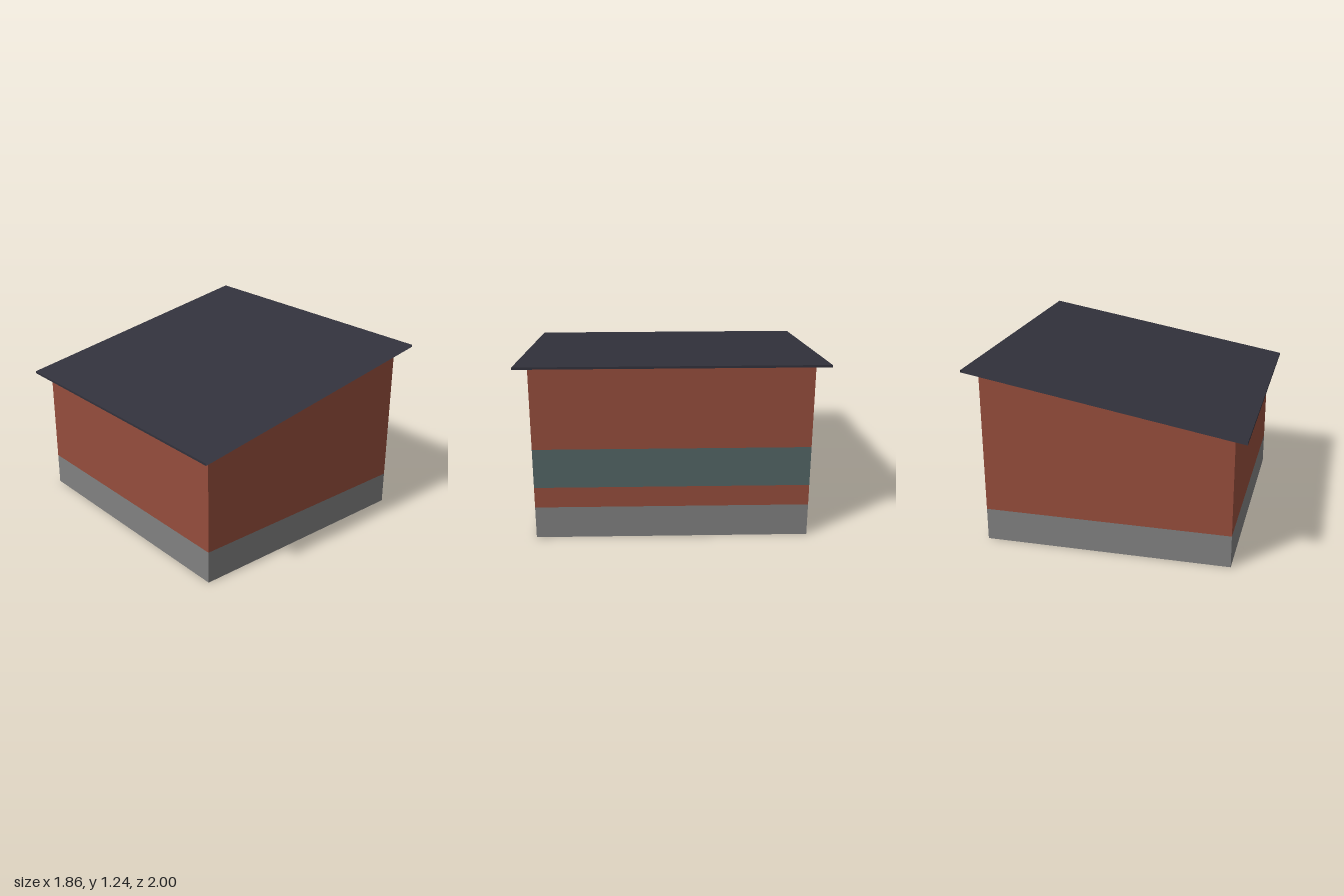
import * as THREE from 'three';

const X = 0.845, Z = 0.915;            // wall half width and half depth
const RX = 0.93, RZ = 1;               // roof half width and half depth
const BASE = 0.225, THICK = 0.015;
const roofY = x => 1.0775 + 0.1746 * x; // single pitch, rising to the left

const material = (name, color) => {
  const m = new THREE.MeshStandardMaterial({ color, side: THREE.DoubleSide });
  m.name = name;
  return m;
};

// Flat panel from four corners, anticlockwise seen from outside
function panel(name, mat, ...corners) {
  const g = new THREE.BufferGeometry();
  g.setAttribute('position', new THREE.Float32BufferAttribute(corners.flat(), 3));
  g.setIndex([0, 1, 2, 0, 2, 3]);
  g.computeVertexNormals();
  const mesh = new THREE.Mesh(g, mat);
  mesh.name = name;
  return mesh;
}

export function createModel() {
  const brick = material('brick', 0x954d3c);
  const concrete = material('concrete', 0x808080);
  const glass = material('glass', 0x536566);
  const roofing = material('roofing', 0x32323c);

  const model = new THREE.Group();
  model.name = 'shed';

  // Upright panel between two plan points, with its own top height at each end
  const upright = (name, mat, [ax, az], [bx, bz], y0, ya, yb = ya) =>
    panel(name, mat, [ax, y0, az], [bx, y0, bz], [bx, yb, bz], [ax, ya, az]);

  // Plinth and walls, open underneath
  const plan = [[-X, Z], [X, Z], [X, -Z], [-X, -Z]];
  ['front', 'left', 'back', 'right'].forEach((side, i) => {
    const a = plan[i], b = plan[(i + 1) % 4];
    model.add(upright(side + 'Plinth', concrete, a, b, 0, BASE));
    if (side === 'left') {
      // Tall side: window band set flush between two brick strips
      model.add(upright('leftLowerWall', brick, a, b, BASE, 0.37));
      model.add(upright('windowBand', glass, a, b, 0.37, 0.645));
      model.add(upright('leftUpperWall', brick, a, b, 0.645, roofY(X)));
    } else {
      model.add(upright(side + 'Wall', brick, a, b, BASE, roofY(a[0]), roofY(b[0])));
    }
  });

  // Roof: two thin sheets joined along the eaves, open at the gable ends
  const roof = new THREE.Group();
  roof.name = 'roof';
  const hi = roofY(RX), lo = roofY(-RX);
  roof.add(
    panel('roofTop', roofing, [-RX, lo, RZ], [RX, hi, RZ], [RX, hi, -RZ], [-RX, lo, -RZ]),
    panel('roofUnderside', roofing, [-RX, lo - THICK, -RZ], [RX, hi - THICK, -RZ],
      [RX, hi - THICK, RZ], [-RX, lo - THICK, RZ]),
    upright('highEave', roofing, [RX, RZ], [RX, -RZ], hi - THICK, hi),
    upright('lowEave', roofing, [-RX, -RZ], [-RX, RZ], lo - THICK, lo)
  );
  model.add(roof);
  return model;
}
